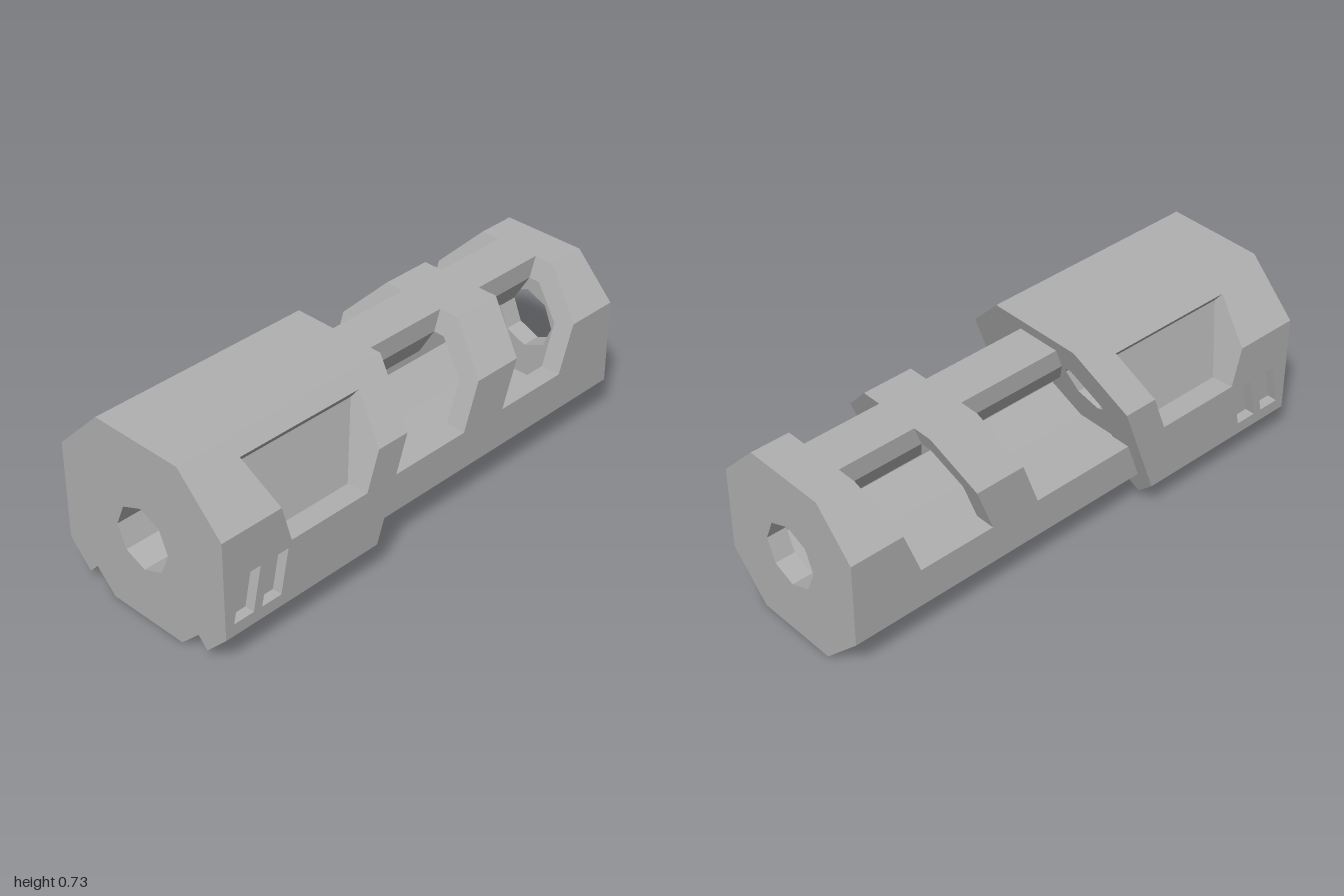
import * as THREE from 'three';

const SLOPE = 0.365;
const CY = 0.335;

// Plane leaning in the zy plane: z at the tube's top, falling with height
const lean = (zTop, slope = SLOPE) => (y) => zTop + slope * (0.67 - y);
const flat = (z) => () => z;

// Right half outline (bottom to top) mirrored into a closed polygon
const mirrored = (half) => [...half, ...half.slice().reverse().map(([x, y]) => [-x, y])];
const toVectors = (pts) => pts.map(([x, y]) => new THREE.Vector2(x, y));

const OUTER = mirrored([[0.17, 0], [0.33, 0.165], [0.33, 0.505], [0.17, 0.67]]);
const CAVITY = mirrored([[0.135, 0.08], [0.25, 0.19], [0.25, 0.48], [0.135, 0.59]]);
const BORE = Array.from({ length: 8 }, (_, i) => {
  const a = (i * Math.PI) / 4;
  return [0.125 * Math.cos(a), CY + 0.125 * Math.sin(a)];
});

// Extrude a cross-section between two leaning planes
function prism(outline, hole, back, front) {
  const shape = new THREE.Shape(toVectors(outline));
  if (hole) shape.holes.push(new THREE.Path(toVectors(hole)));
  const geo = new THREE.ExtrudeGeometry(shape, { depth: 1, bevelEnabled: false });
  const p = geo.attributes.position;
  for (let i = 0; i < p.count; i++) {
    const y = p.getY(i);
    p.setZ(i, THREE.MathUtils.lerp(back(y), front(y), p.getZ(i)));
  }
  geo.computeVertexNormals();
  return geo;
}

export function createModel() {
  const model = new THREE.Group();
  model.name = 'ventedOctagonalTube';
  const grey = new THREE.MeshStandardMaterial({ color: 0xb0b0b0 });
  grey.name = 'grey';

  const add = (name, geo) => {
    const mesh = new THREE.Mesh(geo, grey);
    mesh.name = name;
    model.add(mesh);
    return mesh;
  };

  // Inner tube: end cap and closed rings
  add('rearCap', prism(OUTER, BORE, flat(-1), flat(-0.92)));
  add('rearRing', prism(OUTER, CAVITY, flat(-0.92), lean(-0.845)));
  add('middleRing', prism(OUTER, CAVITY, lean(-0.53), lean(-0.325)));

  // Open window sections: lower trough and top spine
  const trough = [
    [0.33, 0.32], [0.25, 0.32], [0.25, 0.19], [0.135, 0.08],
    [-0.135, 0.08], [-0.25, 0.19], [-0.25, 0.32], [-0.33, 0.32],
    [-0.33, 0.165], [-0.17, 0], [0.17, 0], [0.33, 0.165],
  ];
  const spine = mirrored([[0.05, 0.505], [0.09, 0.59], [0.09, 0.67]]);
  const sleeveBack = lean(0.11);
  for (const [name, back, front] of [
    ['rearWindow', lean(-0.845), lean(-0.53)],
    ['frontWindow', lean(-0.325), sleeveBack],
  ]) {
    add(name + 'Trough', prism(trough, null, back, front));
    add(name + 'Spine', prism(spine, null, back, front));
  }

  // Sleeve outline with the lip grooves underneath
  const base = [[0.17, 0], [0.255, 0.083], [0.295, 0.04], [0.39, 0.138]];
  const top = [[0.39, 0.53], [0.195, 0.725]];
  const recessBack = lean(0.247);
  const recessFront = lean(0.78, -0.27);
  add('sleeveRear', prism(mirrored([...base, ...top]), CAVITY, sleeveBack, recessBack));

  // Middle of the sleeve with a tilted recess on each side
  const recess = [[0.39, 0.38], [0.3, 0.375], [0.22, 0.64], [0.245, 0.675], [0.195, 0.725]];
  add('sleeveRecess', prism(mirrored([...base, ...recess]), BORE, recessBack, recessFront));

  // Front of the sleeve with a pocket for each slotted side plate
  const pocket = [[0.39, 0.16], [0.35, 0.16], [0.35, 0.38], [0.39, 0.38]];
  add('sleeveFront', prism(mirrored([...base, ...pocket, ...top]), BORE, recessFront, flat(1)));

  // Side plates with two slanted slots
  const plate = new THREE.Shape(toVectors([
    [-1, 0.16], [-recessFront(0.16), 0.16], [-recessFront(0.38), 0.38], [-1, 0.38],
  ]));
  for (const z of [0.963, 0.84]) {
    plate.holes.push(new THREE.Path(toVectors([
      [-z, 0.185], [-z + 0.086, 0.185], [-z + 0.123, 0.355], [-z + 0.037, 0.355],
    ])));
  }
  const plateGeo = new THREE.ExtrudeGeometry(plate, { depth: 0.04, bevelEnabled: false });
  plateGeo.rotateY(Math.PI / 2);
  add('leftSlottedPlate', plateGeo).position.x = 0.35;
  add('rightSlottedPlate', plateGeo).position.x = -0.39;

  return model;
}
